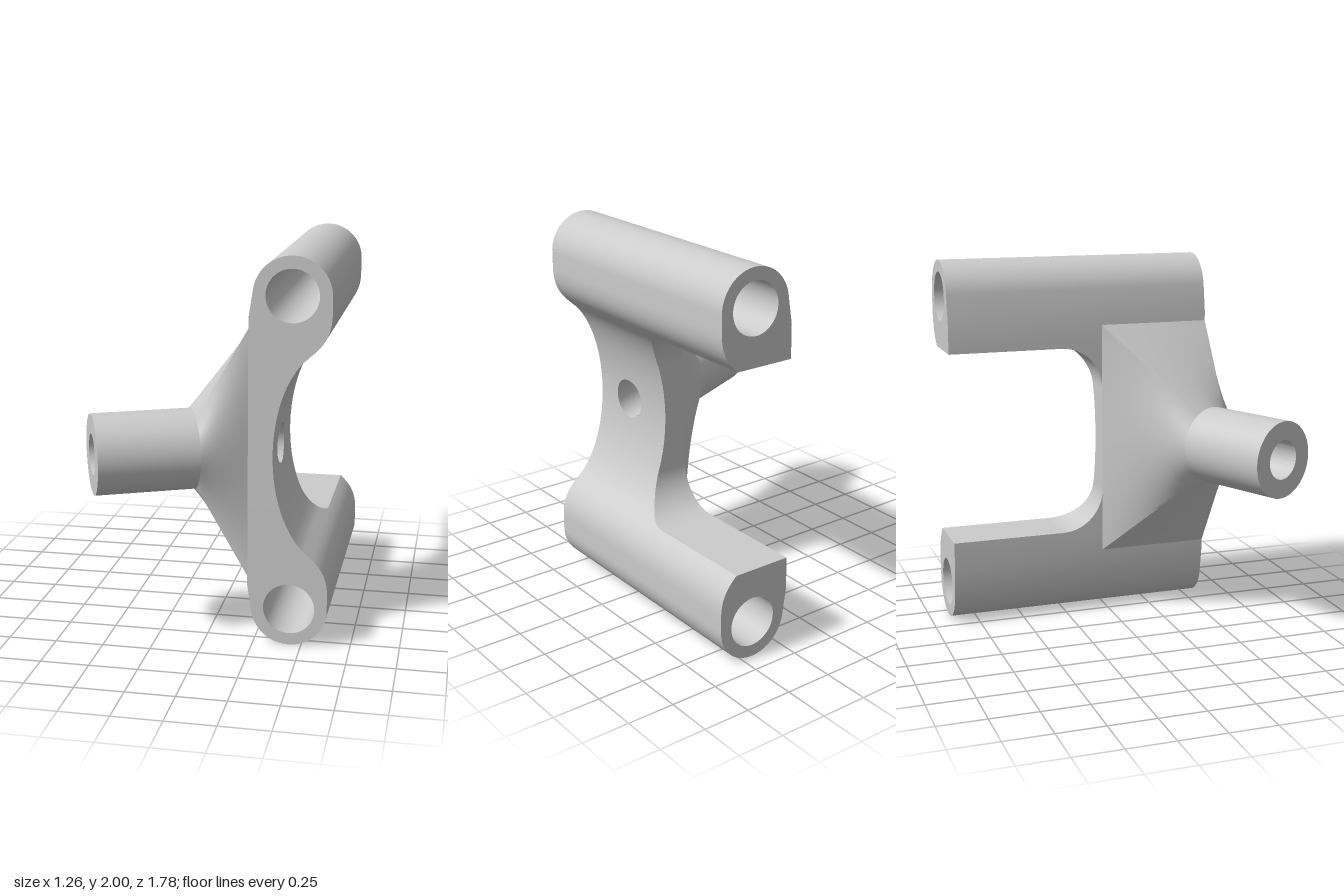
import * as THREE from 'three';
import { toCreasedNormals } from 'three/addons/utils/BufferGeometryUtils.js';

const material = new THREE.MeshStandardMaterial({ color: 0xcccccc, side: THREE.DoubleSide });

// Main dimensions
const FRONT = 0.565, BACK = -0.89, WEB_BACK = -0.04, LEFT_X = 0.22;
const CUT = 0.52, FILLET = 0.23;          // half height and corner radius of the rear cut-out
const TUBE_R = 0.206, BORE_R = 0.105, TUBE_LEN = 0.511;
const AX = 0.91, AZ = 0.414;              // direction of the slanted tube

// Concave face of the web: x for a height y
function webX(y) {
  const d = Math.abs(y - 1);
  const e = Math.min(d, 0.48);
  return 0.635 - 0.29 * Math.sqrt(1 - (e / 0.55) ** 2) + (d - e) * 1.1;
}

// Rear edge of the web: z for a height y
function webBack(y) {
  const d = Math.max(0, Math.abs(y - 1) - (CUT - FILLET));
  return WEB_BACK - FILLET + Math.sqrt(Math.max(0, FILLET ** 2 - d * d));
}

// Point on a circle of radius r around the tube axis
const tubePoint = (t, a, r) => [
  -0.545 + AX * t + AZ * r * Math.cos(a),
  1 + r * Math.sin(a),
  0.70 - AZ * t + AX * r * Math.cos(a),
];

// Bore point where it meets the surface x = fx(y)
function borePoint(a, fx) {
  const x = fx(1 + BORE_R * Math.sin(a));
  return tubePoint((x + 0.545 - AZ * BORE_R * Math.cos(a)) / AX, a, BORE_R);
}

// Surface through rows of points
function surface(rows) {
  const pos = rows.flat(2), index = [], n = rows[0].length;
  for (let i = 0; i < rows.length - 1; i++) {
    for (let j = 0; j < n - 1; j++) {
      const a = i * n + j, b = a + n;
      index.push(a, b, a + 1, a + 1, b, b + 1);
    }
  }
  const g = new THREE.BufferGeometry();
  g.setAttribute('position', new THREE.Float32BufferAttribute(pos, 3));
  g.setIndex(index);
  return toCreasedNormals(g.toNonIndexed(), 0.6);
}

function add(group, name, geometry) {
  const mesh = new THREE.Mesh(geometry, material);
  mesh.name = name;
  group.add(mesh);
}

const range = (n, f) => Array.from({ length: n + 1 }, (_, i) => f(i / n));
const lerp = (p, q, s) => p.map((v, i) => v + (q[i] - v) * s);

// Closed rectangle outline in z, y with half height h, starting at its front middle
function rectLoop(h, n = 20) {
  const zm = (FRONT + WEB_BACK) / 2;
  const c = [[FRONT, 1], [FRONT, 1 + h], [zm, 1 + h], [WEB_BACK, 1 + h], [WEB_BACK, 1],
    [WEB_BACK, 1 - h], [zm, 1 - h], [FRONT, 1 - h], [FRONT, 1]];
  const pts = [c[0]];
  for (let k = 0; k < 8; k++) for (let i = 1; i <= n; i++) pts.push(lerp(c[k], c[k + 1], i / n));
  return pts;
}

// Arm: rounded lobe with a long hole, side +1 upper, -1 lower
function arm(side) {
  const s = new THREE.Shape();
  const Y = (d) => 1 + side * d;
  s.moveTo(LEFT_X, Y(CUT));
  s.lineTo(webX(1 + CUT), Y(CUT));
  s.bezierCurveTo(0.60, Y(0.575), 0.63, Y(0.63), 0.63, Y(0.72));
  for (let i = 0; i <= 40; i++) {
    const a = (i / 40) * 3.0;
    s.lineTo(0.435 + 0.195 * Math.cos(a), Y(0.805 + 0.195 * Math.sin(a)));
  }
  s.lineTo(LEFT_X, Y(0.69));
  const hole = new THREE.Path();
  hole.absarc(0.435, Y(0.805), 0.132, 0, Math.PI * 2, true);
  s.holes.push(hole);
  const g = new THREE.ExtrudeGeometry(s, { depth: FRONT - BACK, bevelEnabled: false, curveSegments: 24 });
  g.translate(0, 0, BACK);
  return toCreasedNormals(g, 0.5);
}

// Web face x = fx(y), pierced by the bore in its middle part
function webFace(group, name, fx) {
  const mid = CUT - FILLET;
  const zc = borePoint(Math.PI / 2, fx)[2];
  const loop = rectLoop(mid, 10);
  add(group, name, surface(range(12, (s) => loop.map(([z, y]) => {
    const b = borePoint(Math.atan2(y - 1, z - zc), fx);
    const [pz, py] = lerp([b[2], b[1]], [z, y], s);
    return [fx(py), py, pz];
  }))));
  for (const side of [1, -1]) {
    add(group, name, surface(range(20, (t) => {
      const y = 1 + side * (mid + FILLET * Math.sin(t * Math.PI / 2));
      return [FRONT, webBack(y)].map((z) => [fx(y), y, z]);
    })));
  }
}

export function createModel() {
  const model = new THREE.Group();
  model.name = 'forkBracket';

  add(model, 'upperArm', arm(1));
  add(model, 'lowerArm', arm(-1));

  // Web joining the arms
  const web = new THREE.Group();
  web.name = 'web';
  model.add(web);
  webFace(web, 'concaveFace', webX);
  webFace(web, 'flatFace', () => LEFT_X);
  for (const [name, fz] of [['frontFace', () => FRONT], ['rearCutFace', webBack]]) {
    add(web, name, surface(range(120, (t) => {
      const y = 1 - CUT * Math.cos(t * Math.PI);
      return [LEFT_X, webX(y)].map((x) => [x, y, fz(y)]);
    })));
  }

  // Slanted tube with its end ring and through bore
  const angles = range(64, (t) => t * Math.PI * 2);
  const ring = (t, r) => angles.map((a) => tubePoint(t, a, r));
  add(model, 'tube', surface([ring(0, TUBE_R), ring(TUBE_LEN, TUBE_R)]));
  add(model, 'tubeEnd', surface([ring(0, BORE_R), ring(0, TUBE_R)]));
  add(model, 'bore', surface([ring(0, BORE_R), angles.map((a) => borePoint(a, webX))]));

  // Flare blending the round tube into a rectangle on the web
  const rect = rectLoop(0.64);
  const lengths = [0];
  for (let i = 1; i < rect.length; i++) {
    lengths.push(lengths[i - 1] + Math.hypot(rect[i][0] - rect[i - 1][0], rect[i][1] - rect[i - 1][1]));
  }
  const total = lengths[lengths.length - 1];
  add(model, 'flare', surface(range(10, (s) => rect.map(([z, y], i) =>
    lerp(tubePoint(TUBE_LEN, lengths[i] / total * Math.PI * 2, TUBE_R), [LEFT_X, y, z], s)))));

  return model;
}
